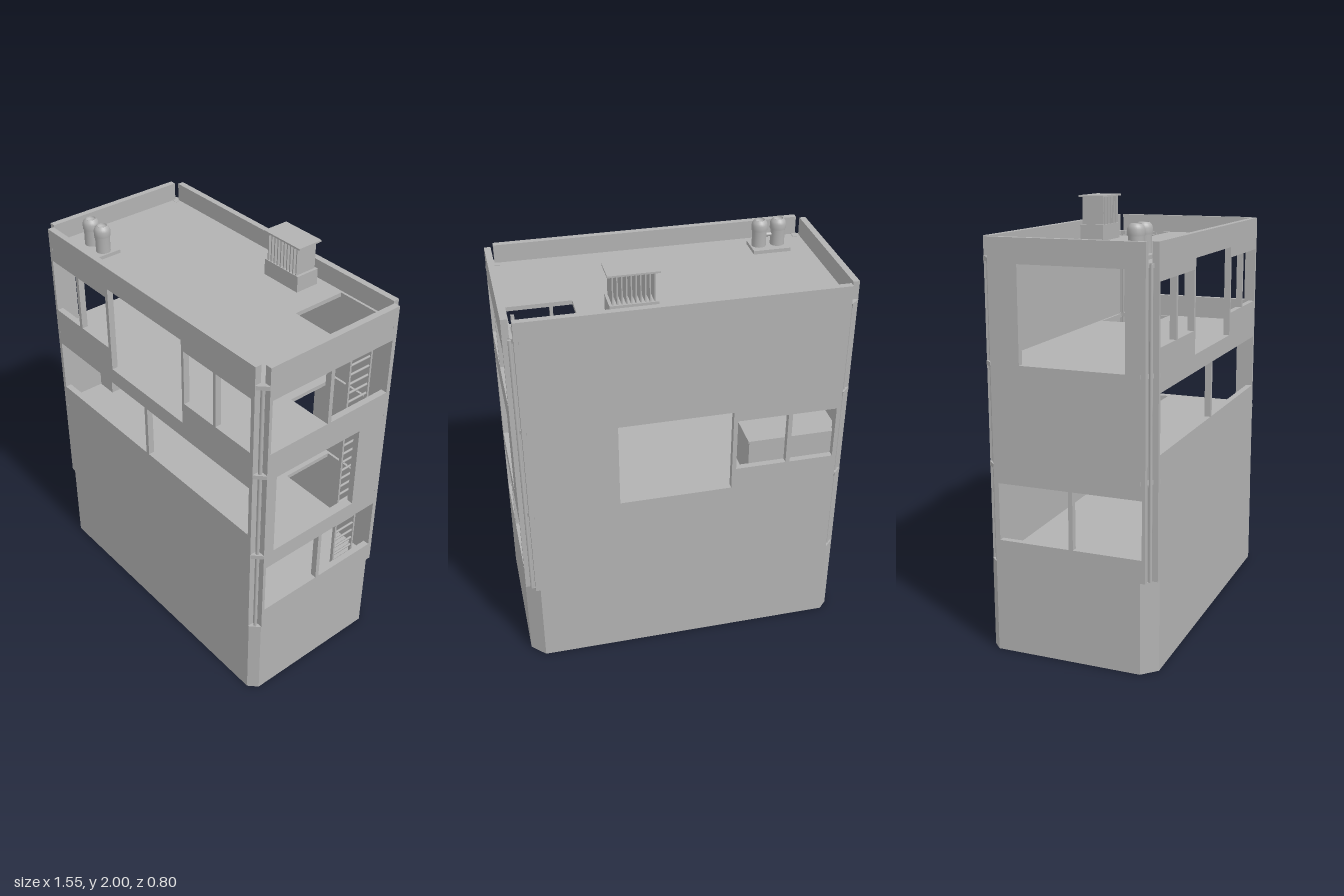
import * as THREE from 'three';

export function createModel() {
  const model = new THREE.Group();
  const concrete = new THREE.MeshStandardMaterial({ color: 0xb2b2b2 });
  concrete.name = 'pale grey';

  const add = (name, geometry, parent = model) => {
    const mesh = new THREE.Mesh(geometry, concrete);
    mesh.name = name;
    parent.add(mesh);
    return mesh;
  };
  const group = (name) => {
    const g = new THREE.Group();
    g.name = name;
    model.add(g);
    return g;
  };
  // Box given by its limits on each axis
  const box = (name, [x0, x1], [y0, y1], [z0, z1], parent) =>
    add(name, new THREE.BoxGeometry(x1 - x0, y1 - y0, z1 - z0)
      .translate((x0 + x1) / 2, (y0 + y1) / 2, (z0 + z1) / 2), parent);

  const polygon = (points, Type = THREE.Shape) =>
    new Type(points.map(([a, b]) => new THREE.Vector2(a, b)));
  const rect = ([a0, a1, b0, b1], Type) =>
    polygon([[a0, b0], [a1, b0], [a1, b1], [a0, b1]], Type);
  const panel = (outline, holes, depth) => {
    outline.holes = holes.map((h) => rect(h, THREE.Path));
    return new THREE.ExtrudeGeometry(outline, { depth, bevelEnabled: false });
  };
  // Horizontal slab from a plan drawn as (x, z)
  const slab = (name, points, holes, y0, y1, parent) =>
    add(name, panel(polygon(points), holes, y1 - y0).rotateX(Math.PI / 2).translate(0, y1, 0), parent);

  const X = 0.773, Z = 0.397, BASE = 0.425, TOP = 1.87;
  const SMALL = 0.04, LARGE = 0.065;

  // Solid lower storey with chamfered corners
  slab('base', [
    [-X + SMALL, -Z], [X - LARGE, -Z], [X, -Z + LARGE], [X, Z - SMALL],
    [X - SMALL, Z], [-X + LARGE, Z], [-X, Z - LARGE], [-X, -Z + SMALL],
  ], [], 0, BASE);

  // Outer walls with window openings
  const frontHoles = [
    [-0.71, -0.02, 0.985, 1.25], [0, 0.71, 0.985, 1.25],
    [-0.265, 0.265, 1.33, 1.76],
    [-0.715, -0.52, 1.44, 1.71], [-0.5, -0.285, 1.44, 1.71],
    [0.28, 0.475, 1.44, 1.71], [0.49, 0.71, 1.44, 1.71],
  ];
  const backHoles = [
    [-0.22, 0.31, 0.88, 1.3],
    [-0.71, -0.5, 0.985, 1.25], [-0.48, -0.24, 0.985, 1.25],
  ];
  const pair = (y0, y1) => [[-0.335, 0, y0, y1], [0.02, 0.34, y0, y1]];
  const leftHoles = [...pair(0.53, 0.795), [-0.185, 0.3, 0.88, 1.3], ...pair(1.44, 1.71)];
  const rightHoles = [...pair(0.53, 0.795), [-0.22, 0.265, 1.33, 1.76]];
  const T = 0.03;
  add('frontWall', panel(rect([-0.73, 0.73, BASE, TOP]), frontHoles, T).translate(0, 0, Z - T));
  add('backWall', panel(rect([-0.73, 0.73, BASE, TOP]), backHoles, T).translate(0, 0, -Z));
  const sideWall = (name, holes, x) =>
    add(name, panel(rect([-0.357, 0.355, BASE, TOP]), holes, T).rotateY(-Math.PI / 2).translate(x, 0, 0));
  sideWall('leftWall', leftHoles, X);
  sideWall('rightWall', rightHoles, -X + T);

  // Floors and roof, each with a ladder hatch
  const plan = [[-0.744, -0.368], [0.744, -0.368], [0.744, 0.368], [-0.744, 0.368]];
  const hatch = [0.44, 0.73, -0.355, -0.085];
  slab('lowerFloor', plan, [hatch], 0.86, 0.88);
  slab('upperFloor', plan, [hatch], 1.31, 1.33);
  slab('roof', plan, [hatch], 1.763, 1.783);

  // Recessed corners with a drainpipe and brackets
  for (const sx of [-1, 1]) for (const sz of [-1, 1]) {
    const corner = group('cornerPipework');
    const c = sx === sz ? SMALL : LARGE;
    add('cornerPost', new THREE.BoxGeometry(0.026, 1.34, 0.026)
      .translate(sx * 0.731, BASE + 0.67, sz * 0.355), corner);
    add('drainpipe', new THREE.CylinderGeometry(0.008, 0.008, 1.355, 10)
      .translate(sx * 0.744, BASE + 0.6775, sz * 0.368), corner);
    for (const y of [0.87, 1.325, 1.775]) {
      slab('pipeBracket', [
        [sx * (X - c), sz * (Z + 0.001)], [sx * (X + 0.001), sz * (Z - c)],
        [sx * (X - 0.065), sz * (Z - 0.065)],
      ], [], y - 0.01, y + 0.01, corner);
    }
  }

  // Ladder through all floors
  const ladder = group('ladder');
  for (const z of [-0.28, -0.155]) box('ladderRail', [0.7, 0.716], [BASE, 1.78], [z - 0.005, z + 0.005], ladder);
  for (let y = 0.47; y < 1.77; y += 0.048) {
    add('ladderRung', new THREE.CylinderGeometry(0.006, 0.006, 0.125, 6)
      .rotateX(Math.PI / 2).translate(0.708, y, -0.2175), ladder);
  }
  add('standpipe', new THREE.CylinderGeometry(0.006, 0.006, 1.35, 8).translate(0.722, 1.1, -0.348));

  // Interior counters
  const counters = group('counters');
  box('backCounter', [-0.64, -0.31], [0.88, 1.095], [-0.36, -0.155], counters);
  box('sideCounter', [-0.742, -0.64], [0.88, 1.095], [-0.36, 0.165], counters);
  box('backCounterTop', [-0.64, -0.305], [1.095, 1.105], [-0.365, -0.15], counters);
  box('sideCounterTop', [-0.742, -0.635], [1.095, 1.105], [-0.365, 0.17], counters);
  box('frontCounter', [-0.3, 0.3], [BASE, 0.64], [0.275, 0.367], counters);
  box('frontCounterTop', [-0.305, 0.305], [0.64, 0.65], [0.27, 0.367], counters);

  // Slatted roof vent
  const vent = group('roofVent');
  box('ventBase', [0.105, 0.318], [1.78, 1.86], [-0.325, -0.205], vent);
  for (let i = 0; i < 10; i++) {
    const x = 0.122 + i * 0.02;
    box('ventSlat', [x - 0.003, x + 0.003], [1.86, 1.992], [-0.318, -0.208], vent);
  }
  box('ventCap', [0.1, 0.325], [1.992, 2], [-0.33, -0.2], vent);

  // Twin flues on a plinth
  const flues = group('flues');
  box('fluePlinth', [-0.645, -0.465], [1.78, 1.8], [0.18, 0.305], flues);
  const profile = [[0.034, 1.8], [0.034, 1.875], [0.038, 1.88], [0.038, 1.905],
    [0.033, 1.918], [0.024, 1.928], [0.022, 1.928], [0.022, 1.915], [0, 1.915]]
    .map(([r, y]) => new THREE.Vector2(r, y));
  for (const x of [-0.597, -0.507]) {
    add('flue', new THREE.LatheGeometry(profile, 24).translate(x, 0, 0.245), flues);
  }
  add('flueLink', new THREE.CylinderGeometry(0.01, 0.01, 0.04, 10)
    .rotateZ(Math.PI / 2).translate(-0.552, 1.85, 0.245), flues);

  return model;
}
